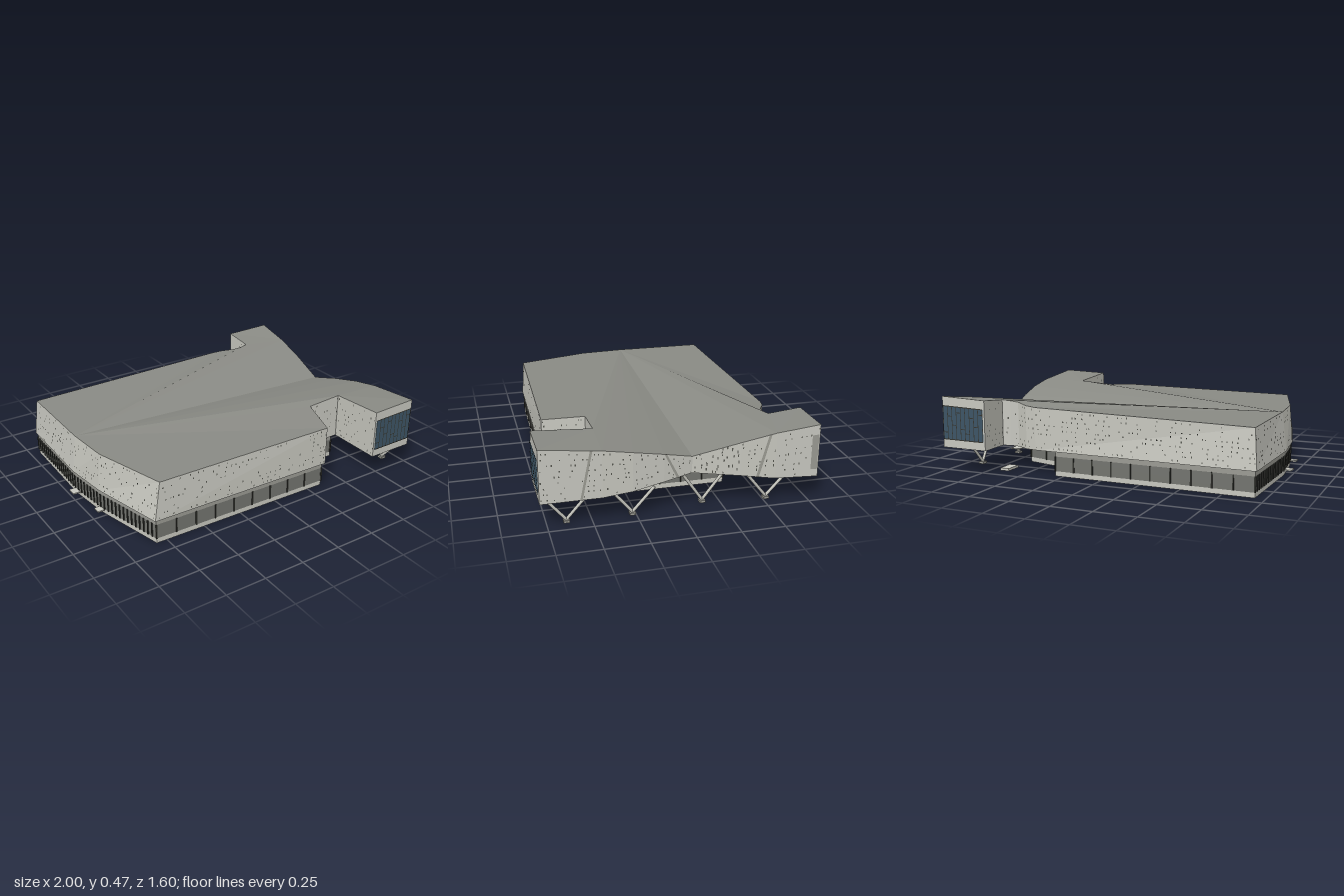
import * as THREE from 'three';

const mat = (name, color, side = THREE.FrontSide) => {
  const m = new THREE.MeshStandardMaterial({ color, side });
  m.name = name;
  return m;
};

// Upper storey outline, counterclockwise from above: x, z, bottom y, top y, (top x, top z)
const RING = [
  [-.825, .67, .15, .385, -.785, .66], [.37, .69, .15, .395], [.44, .44, .15, .42],
  [.67, .44, .15, .435], [.67, .79, .15, .455], [.97, .79, .15, .465], [.98, .45, .155, .43],
  [.975, .28, .17, .4], [.95, .1, .195, .36], [.915, -.07, .215, .315], [.955, -.34, .185, .385],
  [.975, -.54, .155, .43], [.995, -.79, .15, .465], [.69, -.8, .15, .455], [.69, -.6, .15, .435],
  [.64, -.59, .15, .43], [.58, -.595, .15, .425], [.5, -.64, .15, .415], [.43, -.655, .15, .41],
  [-.95, -.68, .15, .385, -.93, -.655], [-.965, -.08, .15, .385, -.935, -.08],
  [-.935, .2, .15, .385, -.915, .2],
];
const N = RING.length;
const HUB = 20;
const low = RING.map(([x, z, yb]) => new THREE.Vector3(x, yb, z));
const high = RING.map(([x, z, , yt, tx = x, tz = z]) => new THREE.Vector3(tx, yt, tz));

// Ground storey outline: x, z
const GROUND = [[-.815, .66], [.35, .68], [.42, .43], [.64, .43], [.64, -.35], [.38, -.42],
  [.3, -.645], [-.94, -.67], [-.955, -.08], [-.925, .2]];

function triangles(tris) {
  const g = new THREE.BufferGeometry().setFromPoints(tris.flat());
  g.computeVertexNormals();
  return g;
}
const quad = (a, b, c, d) => [[a, b, c], [a, c, d]];

// Folded plane: a fan from one hub, plus the two projecting wing ends
function foldedPlane(pts, hub) {
  const tris = [];
  for (let i = 0; i < N; i++) {
    if ([3, 4, 5, 11, 12, 13].includes(i)) continue;
    const a = pts[i], b = pts[(i + 1) % N];
    if (a !== hub && b !== hub) tris.push([hub, a, b]);
  }
  for (const [s, e] of [[3, 6], [11, 14]]) {
    tris.push([hub, pts[s], pts[e]], ...quad(pts[s], pts[s + 1], pts[s + 2], pts[e]));
  }
  return tris;
}

// Point on wall i at fractions u (along) and v (up), pushed outward
function onWall(i, u, v, off) {
  const j = (i + 1) % N;
  const a = low[i].clone().lerp(low[j], u), b = high[i].clone().lerp(high[j], u);
  const n = low[j].clone().sub(low[i]).cross(high[i].clone().sub(low[i])).normalize();
  return a.lerp(b, v).addScaledVector(n, off);
}
const patch = (i, uv, off) => quad(...uv.map(([u, v]) => onWall(i, u, v, off)));
const rect = (i, u0, u1, v0, v1, off) => patch(i, [[u0, v0], [u1, v0], [u1, v1], [u0, v1]], off);

let seed = 7;
const rnd = () => (seed = (seed * 16807) % 2147483647) / 2147483647;

export function createModel() {
  const model = new THREE.Group();
  const panel = mat('pale wall panel', 0xc8c8c0);
  const roofGrey = mat('roof grey', 0x8a8b85, THREE.DoubleSide);
  const soffitGrey = mat('soffit grey', 0x747470, THREE.DoubleSide);
  const hole = mat('perforation dark', 0x55564f);
  const seam = mat('seam grey', 0x9a9a92);
  const blue = mat('blue glass', 0x3d5566);
  const dark = mat('dark frame', 0x33342f);
  const glazing = mat('grey glazing', 0x73746f);
  const bandGrey = mat('band grey', 0x9b9b94);

  const add = (name, geo, material, parent = model) => {
    const m = new THREE.Mesh(geo, material);
    m.name = name;
    parent.add(m);
    return m;
  };

  // Upper storey shell
  const walls = [];
  for (let i = 0; i < N; i++) walls.push(...rect(i, 0, 1, 0, 1, 0));
  add('upperWalls', triangles(walls), panel);
  add('foldedRoof', triangles(foldedPlane(high, high[HUB])), roofGrey);
  const under = foldedPlane(low, new THREE.Vector3(.4, .15, -.07));
  add('soffit', triangles(under.map(([a, b, c]) => [a, c, b])), soffitGrey);

  // Scattered small perforations on every wall except the glazed ends
  const dots = [];
  for (let i = 0; i < N; i++) {
    if (i === 4 || i === 12) continue;
    const length = low[i].distanceTo(low[(i + 1) % N]);
    const height = high[i].y - low[i].y;
    const cols = Math.floor(length / .03);
    for (let r = 0; r < 9; r++) {
      for (let c = 0; c < cols; c++) {
        if (rnd() > .42) continue;
        const u = (c + .15 + rnd() * .6) / cols, v = (r + .5) / 9.3;
        const w = (.004 + rnd() * .004) / length, h = (.006 + rnd() * .006) / height;
        dots.push(...rect(i, u, u + w, v, v + h, .002));
      }
    }
  }
  add('wallPerforations', triangles(dots), hole);

  // Slanted seams on the long side wall
  const seams = [];
  for (const [i, u0, u1, w] of [[5, .64, .81, .04], [8, .45, .0, .09], [10, .45, .78, .08]]) {
    seams.push(...patch(i, [[u0, 0], [u0 + w, 0], [u1 + w, 1], [u1, 1]], .003));
  }
  add('slantedSeams', triangles(seams), seam);
  add('sidePanel', triangles(rect(11, .82, .97, .15, .82, .004)), seam);

  // Large windows in both wing ends
  for (const [name, i] of [['frontWindow', 4], ['backWindow', 12]]) {
    const group = new THREE.Group();
    group.name = name;
    model.add(group);
    add('glass', triangles(rect(i, .02, .97, .17, .82, .003)), blue, group);
    const bars = [];
    for (let k = 0; k <= 9; k++) {
      const u = .02 + k * .104;
      bars.push(...rect(i, u, u + .014, .17, .82, .006));
      if (k < 9) {
        const v = [.3, .62, .45, .7, .38][k % 5];
        bars.push(...rect(i, u, u + .104, v, v + .015, .006));
      }
    }
    for (const v of [.16, .81]) bars.push(...rect(i, .02, .97, v, v + .02, .006));
    add('windowBars', triangles(bars), dark, group);
  }

  // Ground storey: plinth, glazing and head band
  const shape = new THREE.Shape(GROUND.map(([x, z]) => new THREE.Vector2(x, -z)));
  const slab = (name, y0, y1, material) => {
    const g = new THREE.ExtrudeGeometry(shape, { depth: y1 - y0, bevelEnabled: false });
    add(name, g.rotateX(-Math.PI / 2).translate(0, y0, 0), material);
  };
  slab('plinth', 0, .03, [soffitGrey, panel]);
  slab('groundGlazing', .03, .12, glazing);
  slab('headBand', .12, .17, [soffitGrey, bandGrey]);

  // Mullions, closer together on the two slanted end walls
  const mullions = new THREE.Group();
  mullions.name = 'mullions';
  model.add(mullions);
  GROUND.forEach(([x, z], i) => {
    const [x2, z2] = GROUND[(i + 1) % GROUND.length];
    const length = Math.hypot(x2 - x, z2 - z);
    const count = Math.max(1, Math.round(length / (i >= 7 ? .035 : .13)));
    for (let k = 0; k < count; k++) {
      const t = k / count;
      const m = add('mullion', new THREE.BoxGeometry(.008, .09, .01), dark, mullions);
      m.position.set(x + (x2 - x) * t, .075, z + (z2 - z) * t);
      m.rotation.y = -Math.atan2(z2 - z, x2 - x);
    }
  });

  // V-shaped supports on foot plates
  const up = new THREE.Vector3(0, 1, 0);
  for (const [z, x] of [[.64, .91], [.27, .91], [-.15, .86], [-.52, .9]]) {
    const support = new THREE.Group();
    support.name = 'vSupport';
    model.add(support);
    add('footPlate', new THREE.BoxGeometry(.035, .014, .035), bandGrey, support).position.set(x, .007, z);
    for (const s of [-1, 1]) {
      const a = new THREE.Vector3(x, .015, z);
      const b = new THREE.Vector3(x + .02, Math.abs(z + .07) < .3 ? .19 : .165, z + s * .12);
      const d = b.clone().sub(a);
      const strut = add('strut', new THREE.CylinderGeometry(.009, .009, d.length(), 8), panel, support);
      strut.position.copy(a).addScaledVector(d, .5);
      strut.quaternion.setFromUnitVectors(up, d.normalize());
    }
  }

  // Entrance slabs and a small canopy
  for (const [name, w, h, d, x, y, z] of [
    ['backEntranceSlab', .06, .015, .11, .63, .02, -.635],
    ['sideEntranceSlab', .045, .008, .06, -.977, .03, -.05],
    ['sideEntranceSlab', .04, .008, .05, -.945, .03, .215],
    ['entranceCanopy', .06, .006, .07, .63, .125, -.53],
  ]) add(name, new THREE.BoxGeometry(w, h, d), panel).position.set(x, y, z);

  return model;
}
